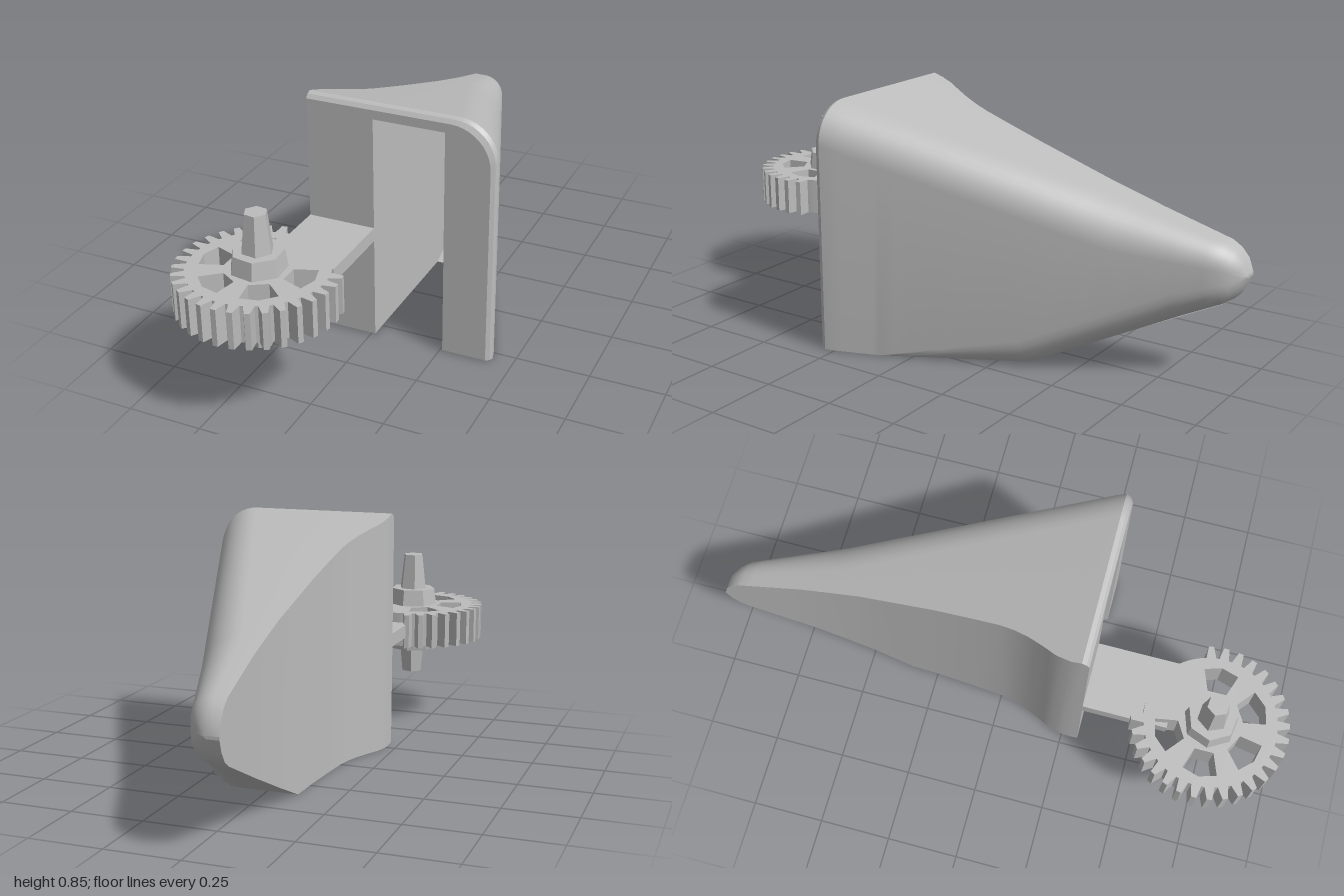
import * as THREE from 'three';
import { toCreasedNormals } from 'three/addons/utils/BufferGeometryUtils.js';

const grey = new THREE.MeshStandardMaterial({ color: 0xbcbcbc });
grey.name = 'plain grey';

function addPart(parent, name, geometry, x = 0, y = 0, z = 0) {
  const mesh = new THREE.Mesh(geometry, grey);
  mesh.name = name;
  mesh.position.set(x, y, z);
  parent.add(mesh);
  return mesh;
}

// Skin between cross-sections that run from front to back
function loft(rings, crease = 0.5) {
  const n = rings[0].length;
  const index = [];
  for (let i = 0; i < rings.length - 1; i++) {
    for (let j = 0; j < n - 1; j++) {
      const a = i * n + j, b = a + 1, c = a + n, d = c + 1;
      index.push(a, b, c, b, d, c);
    }
  }
  const geometry = new THREE.BufferGeometry();
  geometry.setAttribute('position', new THREE.Float32BufferAttribute(rings.flat(2), 3));
  geometry.setIndex(index);
  return toCreasedNormals(geometry, crease);
}

// Linear lookup in [z, value] stations ordered from front to back
function along(stations, z) {
  for (let i = 1; i < stations.length; i++) {
    const [z0, v0] = stations[i - 1], [z1, v1] = stations[i];
    if (z >= z1) return v0 + (v1 - v0) * Math.min(1, Math.max(0, (z0 - z) / (z0 - z1)));
  }
  return stations[stations.length - 1][1];
}

const LEFT = [[0.31, -0.218], [0.25, -0.216], [0.2, -0.203], [0.15, -0.178], [0.1, -0.156], [0.05, -0.14],
  [0, -0.13], [-0.2, -0.112], [-0.5, -0.1], [-0.7, -0.104], [-1, -0.125]];
const RIGHT = [[0.31, 0.412], [0.3, 0.424], [0.28, 0.431], [-0.89, 0.01], [-0.93, -0.005],
  [-0.96, -0.025], [-0.985, -0.05], [-1, -0.08]];
const TOP = [[0.31, 0.826], [0.3, 0.839], [0.285, 0.845], [-0.93, 0.47], [-0.96, 0.45], [-0.985, 0.42], [-1, 0.375]];
const BOTTOM = [[0.31, 0.004], [0.28, 0], [-0.35, 0], [-0.93, 0.27], [-0.96, 0.29], [-0.985, 0.325], [-1, 0.365]];
const LOWER_ROUND = [[0.1, 0], [-0.35, 0.1], [-1, 0.1]];
const SLOT_LEFT = 0.015, SLOT_END = -0.23;

// Outline from the slot, up the left wall, over the top and down the right wall
function outline(z, slotRight) {
  const l = along(LEFT, z), r = along(RIGHT, z), t = along(TOP, z), b = along(BOTTOM, z);
  const limit = Math.min((r - l) * 0.65, (t - b) * 0.48);
  const upper = Math.min(0.135, limit), lower = Math.min(along(LOWER_ROUND, z), limit);
  const slotLeft = z < SLOT_END ? (l + r) / 2 : SLOT_LEFT;
  const points = [[slotLeft, b, z], [l, b, z], [l, t, z]];
  for (let i = 0; i <= 10; i++) {
    const a = (Math.PI / 2) * (1 - i / 10);
    points.push([r - upper + upper * Math.cos(a), t - upper + upper * Math.sin(a), z]);
  }
  for (let i = 0; i <= 6; i++) {
    const a = -(Math.PI / 2) * (i / 6);
    points.push([r - lower + lower * Math.cos(a), b + lower + lower * Math.sin(a), z]);
  }
  points.push([slotRight ?? slotLeft, b, z]);
  return points;
}

function makeHousing() {
  const housing = new THREE.Group();
  housing.name = 'housing';

  // Outer shell, open underneath along the slot
  const slotAt = z => 0.26 - 0.228 * (0.31 - z);
  const openZ = [0.31, 0.3, 0.285, 0.25, 0.225, 0.2, 0.175, 0.15, 0.125, 0.1, 0.05, 0, -0.1, SLOT_END];
  const closedZ = [SLOT_END, -0.3, -0.35, -0.4, -0.5, -0.6, -0.7, -0.8, -0.89, -0.93, -0.96, -0.985, -1];
  const rings = [...openZ.map(z => outline(z, slotAt(z))), ...closedZ.map(z => outline(z))];
  addPart(housing, 'shell', loft(rings));

  // Front face with the slot cut out
  const front = [...rings[0], [0.26, 0.795], [SLOT_LEFT, 0.795]];
  const face = new THREE.Shape(front.map(p => new THREE.Vector2(p[0], p[1])));
  addPart(housing, 'frontFace', new THREE.ShapeGeometry(face), 0, 0, 0.31);

  // Tip closing face
  const tip = new THREE.Shape(rings[rings.length - 1].map(p => new THREE.Vector2(-p[0], p[1])));
  addPart(housing, 'tipFace', new THREE.ShapeGeometry(tip), 0, 0, -1).rotation.y = Math.PI;

  // Wedge-shaped slot lining, with a rising floor at the back
  const lining = (z, right, ceiling, floor) => [[right, floor, z], [right, ceiling, z],
    [SLOT_LEFT, ceiling, z], [SLOT_LEFT, floor, z]];
  const middle = lining(SLOT_END, slotAt(SLOT_END), 0.635, 0);
  const back = lining(-0.78, SLOT_LEFT, 0.47, 0.25);
  addPart(housing, 'slotFront', loft([lining(0.31, 0.26, 0.795, 0.004), middle]));
  addPart(housing, 'slotBack', loft([[...middle, middle[0]], [...back, back[0]]], 0.4));
  return housing;
}

function makeGear() {
  const gear = new THREE.Group();
  gear.name = 'gear';
  gear.position.set(-0.17, 0, 0.735);

  // Toothed disc; the stretch beside the arm is left smooth
  const teeth = 32, pitch = (Math.PI * 2) / teeth, root = 0.224, outer = 0.265;
  const polar = (r, a) => new THREE.Vector2(r * Math.cos(a), r * Math.sin(a));
  const points = [];
  for (let i = 0; i < teeth; i++) {
    const a = i * pitch, degrees = a * 180 / Math.PI;
    const r = degrees > 17 && degrees < 98 ? root : outer;
    points.push(polar(root, a - pitch * 0.38), polar(r, a - pitch * 0.17),
      polar(r, a + pitch * 0.17), polar(root, a + pitch * 0.38));
  }
  const disc = new THREE.Shape(points);

  // Five windows between the spokes
  for (let i = 2; i <= 6; i++) {
    const a = i * Math.PI / 3;
    disc.holes.push(new THREE.Path([polar(0.108, a - 0.3), polar(0.185, a - 0.32), polar(0.193, a),
      polar(0.185, a + 0.32), polar(0.108, a + 0.3)]));
  }
  const discGeometry = new THREE.ExtrudeGeometry(disc, { depth: 0.125, bevelEnabled: false });
  discGeometry.rotateX(-Math.PI / 2);
  addPart(gear, 'toothedDisc', discGeometry, 0, 0.32, 0);

  // Faceted hub and tapered shaft ends
  const prism = (name, rTop, rBottom, y0, y1, sides, turn) => {
    const geometry = new THREE.CylinderGeometry(rTop, rBottom, y1 - y0, sides).toNonIndexed();
    geometry.computeVertexNormals();
    addPart(gear, name, geometry, 0, (y0 + y1) / 2, 0).rotation.y = turn;
  };
  prism('upperHub', 0.083, 0.092, 0.44, 0.505, 7, 0.3);
  prism('lowerHub', 0.097, 0.085, 0.27, 0.325, 7, 0.5);
  prism('upperShaft', 0.037, 0.053, 0.5, 0.635, 6, 0.4);
  prism('lowerShaft', 0.05, 0.04, 0.178, 0.275, 6, 0.2);
  return gear;
}

export function createModel() {
  const model = new THREE.Group();
  model.name = 'gearedWedge';
  model.add(makeHousing(), makeGear());

  // Flat arm joining the gear to the housing
  addPart(model, 'arm', new THREE.BoxGeometry(0.233, 0.048, 0.29), -0.1015, 0.385, 0.455);
  return model;
}
